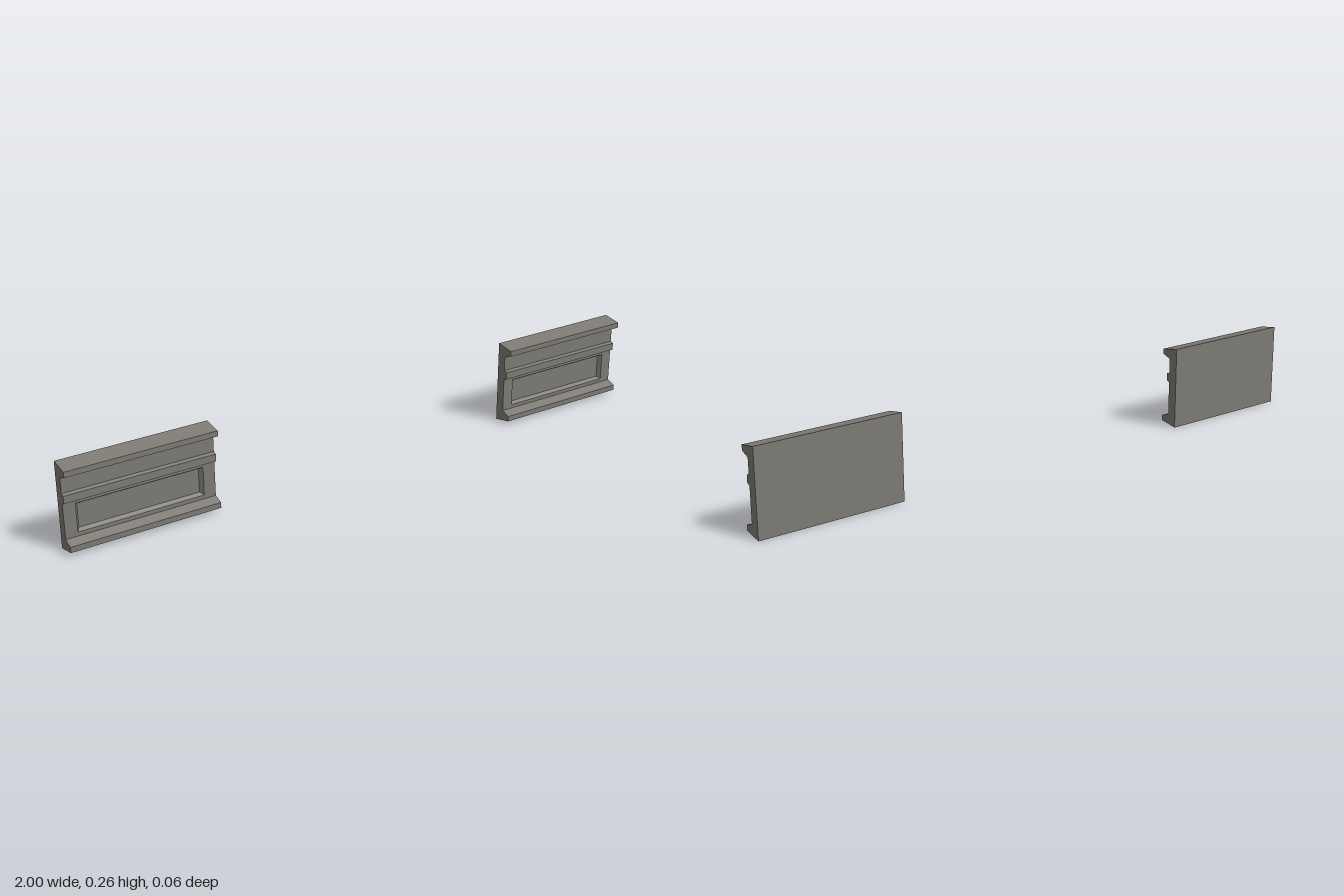
import * as THREE from 'three';

const W = 0.466;              // panel width
const X0 = -W / 2, X1 = W / 2;

// Side profile as [z, y], from the back bottom edge round the front to the back top edge
const PROFILE = [
  [-0.03, 0], [0.03, 0.012], [0.03, 0.029], [0.001, 0.04],
  [0.001, 0.148], [0.012, 0.153], [0.012, 0.176], [0.001, 0.18],
  [0.001, 0.227], [0.03, 0.238], [0.03, 0.255], [-0.03, 0.265],
];
const FIELD = 3;              // profile edge that carries the sunk panel

// Flat-faced geometry from quads of corner points
function quadGeometry(quads) {
  const p = [];
  for (const [a, b, c, d] of quads) p.push(...a, ...b, ...c, ...a, ...c, ...d);
  const g = new THREE.BufferGeometry();
  g.setAttribute('position', new THREE.Float32BufferAttribute(p, 3));
  g.computeVertexNormals();
  return g;
}

// Rectangle corners, counter-clockwise from the front
const rect = (x, y0, y1, z) => [[-x, y0, z], [x, y0, z], [x, y1, z], [-x, y1, z]];

function endCap(side) {
  const shape = new THREE.Shape(PROFILE.map(([z, y]) => new THREE.Vector2(-side * z, y)));
  return new THREE.ShapeGeometry(shape).rotateY(side * Math.PI / 2).translate(side * W / 2, 0, 0);
}

function createPanel(stone) {
  const panel = new THREE.Group();
  const add = (name, geometry) => {
    const mesh = new THREE.Mesh(geometry, stone);
    mesh.name = name;
    panel.add(mesh);
  };

  // Mouldings, top, bottom and back swept along x
  const strips = [];
  PROFILE.forEach(([z, y], i) => {
    if (i === FIELD) return;
    const [zn, yn] = PROFILE[(i + 1) % PROFILE.length];
    strips.push([[X0, y, z], [X1, y, z], [X1, yn, zn], [X0, yn, zn]]);
  });
  add('mouldedBody', quadGeometry(strips));
  add('leftEnd', endCap(1));
  add('rightEnd', endCap(-1));

  // Lower field with a bevelled sunk panel
  const [z, y0] = PROFILE[FIELD], y1 = PROFILE[FIELD + 1][1];
  const edge = rect(W / 2, y0, y1, z);
  const rim = rect(0.196, 0.052, 0.14, z);
  const floor = rect(0.187, 0.059, 0.133, z - 0.012);
  const ring = (a, b) => a.map((p, i) => [p, a[(i + 1) % 4], b[(i + 1) % 4], b[i]]);
  add('panelFrame', quadGeometry(ring(edge, rim)));
  add('recessBevel', quadGeometry(ring(rim, floor)));
  add('recessFloor', quadGeometry([floor]));
  return panel;
}

export function createModel() {
  const stone = new THREE.MeshStandardMaterial({ color: 0x7d7b74 });
  stone.name = 'greyStone';
  const model = new THREE.Group();
  model.name = 'plinthPanels';
  for (const side of [-1, 1]) {
    const panel = createPanel(stone);
    panel.name = side > 0 ? 'leftPanel' : 'rightPanel';
    panel.position.x = side * (1 - W / 2);
    model.add(panel);
  }
  return model;
}
